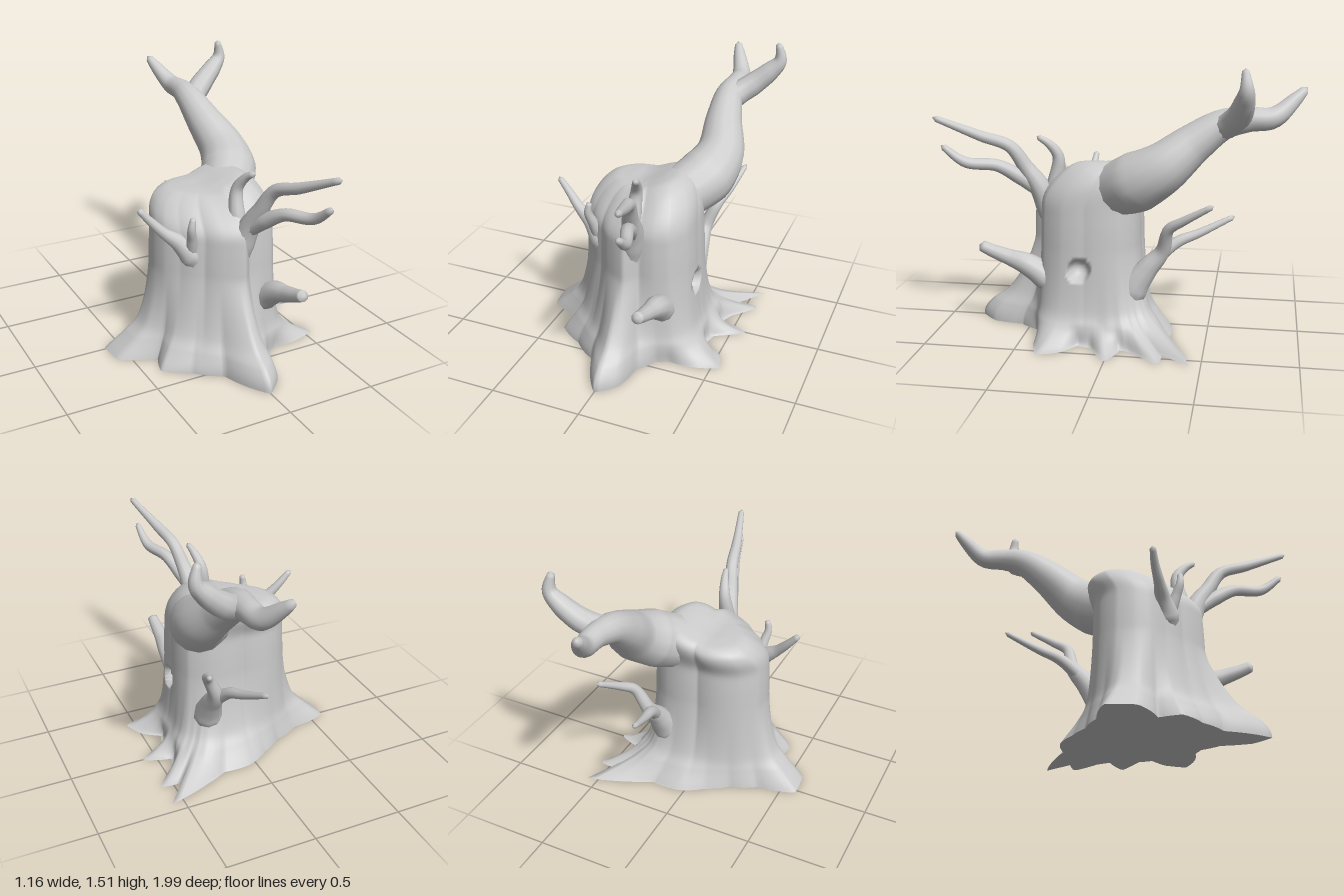
import * as THREE from 'three';
import { mergeVertices } from 'three/addons/utils/BufferGeometryUtils.js';

const { lerp, clamp, smoothstep } = THREE.MathUtils;
const CZ = 0.15; // trunk axis z
const N = 180, ROWS = 110;

// Outlines seen from above, as [x, z]
const FOOT = [[0.42, 0.1], [0.4, 0.18], [0.5, 0.25], [0.55, 0.37], [0.27, 0.42], [0.2, 0.45], [0.13, 0.55], [0.1, 0.72],
  [0, 0.815], [-0.1, 0.65], [-0.13, 0.56], [-0.27, 0.45], [-0.41, 0.35], [-0.37, 0.23], [-0.57, 0.14], [-0.585, -0.02],
  [-0.37, -0.07], [-0.22, -0.14], [-0.1, -0.22], [0.04, -0.3], [0.2, -0.3], [0.33, -0.36], [0.43, -0.4],
  [0.58, -0.44], [0.45, -0.29], [0.58, -0.28], [0.45, -0.13], [0.42, -0.06], [0.585, 0]];
const WAIST = [[0.33, 0.15], [0.32, 0.28], [0.25, 0.39], [0.17, 0.42], [0.09, 0.42], [0.03, 0.49], [-0.06, 0.45],
  [-0.15, 0.365], [-0.25, 0.275], [-0.31, 0.2], [-0.33, 0.12], [-0.32, 0.02], [-0.24, -0.07], [0, -0.11], [0.2, -0.11],
  [0.3, -0.04]];

// Radius of an outline at a given angle round the trunk axis
function polar(outline) {
  const tau = Math.PI * 2;
  const pts = outline.map(([x, z]) => [(Math.atan2(z - CZ, x) + tau) % tau, Math.hypot(x, z - CZ)]).sort((p, q) => p[0] - q[0]);
  const first = pts[0], last = pts[pts.length - 1];
  const all = [[last[0] - tau, last[1]], ...pts, [first[0] + tau, first[1]]];
  return (angle) => {
    const a = (angle + tau) % tau;
    const k = all.findIndex((p) => p[0] > a);
    const [p, q] = [all[k - 1], all[k]];
    return p[1] + (q[1] - p[1]) * (a - p[0]) / (q[0] - p[0]);
  };
}

function build(positions, index) {
  const g = new THREE.BufferGeometry();
  g.setAttribute('position', new THREE.Float32BufferAttribute(positions, 3));
  g.setIndex(index);
  g.computeVertexNormals();
  return g;
}

// Trunk: spreading root outline blends into the waist, then rounds over at the top
function trunkGeometries() {
  const foot = polar(FOOT), waist = polar(WAIST);
  const smoothFoot = (a) => [-0.3, -0.2, -0.1, 0, 0.1, 0.2, 0.3].reduce((sum, d) => sum + foot(a + d) / 7, 0);
  // x: blend from foot to waist, y: height, z: scale
  const profile = new THREE.CatmullRomCurve3([
    [0, 0, 1], [0.1, 0.025, 1], [0.42, 0.1, 1], [0.7, 0.18, 1], [0.88, 0.32, 1], [1, 0.5, 1], [1, 0.68, 0.98],
    [1, 0.78, 0.95], [1, 0.85, 0.85], [1, 0.9, 0.66], [1, 0.914, 0.4], [1, 0.915, 0],
  ].map((p) => new THREE.Vector3(...p)));
  const pos = [], index = [];
  profile.getSpacedPoints(ROWS).forEach((row, j) => {
    for (let i = 0; i < N; i++) {
      const a = i / N * Math.PI * 2, c = Math.cos(a), s = Math.sin(a);
      // the front root climbs high, the side toes lie flat and fade out quickly
      const steep = 1 + 1.1 * Math.max(0, s) ** 3 - 0.5 * Math.max(0, c) ** 2;
      const blend = clamp(row.x, 0, 1) ** steep;
      const fade = smoothstep(row.y, 0, 0.13) * smoothstep(c, 0.3, 0.8);
      const r = lerp(lerp(foot(a), smoothFoot(a), fade), waist(a), blend) * Math.max(0, row.z);
      let x = c * r;
      // the crown leans back
      const z = CZ + s * r - 0.1 * smoothstep(row.y, 0.72, 0.92);
      // and is higher on the side of the big limb
      const y = row.y + smoothstep(row.y, 0.65, 0.9) * 0.065 * smoothstep(x, -0.06, 0.2);
      // knot hole pressed into the side
      const d = Math.hypot(y - 0.4, z - 0.18) / 0.06;
      if (x > 0 && d < 1) x -= 0.08 * Math.sqrt(1 - d * d);
      pos.push(x, Math.max(0, y), z);
      if (j < ROWS) {
        const p = j * N + i, q = j * N + (i + 1) % N;
        index.push(p, p + N, q, q, p + N, q + N);
      }
    }
  });
  // flat underside
  const base = [...pos.slice(0, N * 3), 0, 0, CZ], fan = [];
  for (let i = 0; i < N; i++) fan.push(N, i, (i + 1) % N);
  return [build(pos, index), build(base, fan)];
}

// Tapered limb through points [x, y, z, radius], closed at the tip
function limbGeometry(points, sides) {
  const curve = new THREE.CatmullRomCurve3(points.map((p) => new THREE.Vector3(p[0], p[1], p[2])));
  const segs = points.length * 6;
  const g = new THREE.TubeGeometry(curve, segs, 1, sides, false);
  const pos = g.attributes.position, v = new THREE.Vector3();
  for (let s = 0; s <= segs; s++) {
    const c = curve.getPointAt(s / segs);
    const t = curve.getUtoTmapping(s / segs) * (points.length - 1);
    const k = Math.min(points.length - 2, Math.floor(t));
    const r = s === segs ? 0 : lerp(points[k][3], points[k + 1][3], t - k);
    for (let i = 0; i <= sides; i++) {
      const n = s * (sides + 1) + i;
      v.fromBufferAttribute(pos, n).sub(c).multiplyScalar(r).add(c);
      pos.setXYZ(n, v.x, v.y, v.z);
    }
  }
  g.deleteAttribute('uv');
  g.deleteAttribute('normal');
  const merged = mergeVertices(g, 1e-5);
  merged.computeVertexNormals();
  return merged;
}

// Each limb starts sunk inside the trunk or its parent limb
const LIMBS = {
  mainLimb: [[0.1, 0.74, 0.12, 0.08], [0.17, 0.82, 0, 0.15], [0.265, 0.89, -0.13, 0.162], [0.3, 0.97, -0.26, 0.138],
    [0.265, 1.1, -0.42, 0.106], [0.245, 1.2, -0.57, 0.08], [0.25, 1.23, -0.7, 0.064], [0.24, 1.24, -0.82, 0.056],
    [0.19, 1.33, -0.93, 0.036], [0.16, 1.39, -0.99, 0.018]],
  mainLimbFork: [[0.24, 1.13, -0.49, 0.04], [0.28, 1.2, -0.59, 0.068], [0.36, 1.26, -0.65, 0.066], [0.45, 1.34, -0.68, 0.055],
    [0.505, 1.41, -0.69, 0.038], [0.49, 1.515, -0.68, 0.016]],
  frontBranch: [[0.03, 0.5, 0.38, 0.04], [0.05, 0.68, 0.41, 0.065], [0.07, 0.8, 0.45, 0.058], [0.09, 0.91, 0.52, 0.043],
    [0.12, 1.03, 0.6, 0.035], [0.16, 1.09, 0.75, 0.03], [0.24, 1.2, 0.995, 0.016]],
  frontBranchLowerFork: [[0.06, 0.76, 0.44, 0.035], [0.1, 0.86, 0.56, 0.042], [0.14, 0.925, 0.67, 0.034], [0.2, 0.95, 0.83, 0.03],
    [0.22, 1.045, 0.96, 0.016]],
  frontBranchUpperFork: [[0.05, 0.7, 0.4, 0.05], [0.04, 0.84, 0.36, 0.045], [0.05, 0.97, 0.345, 0.032], [0.07, 1.04, 0.39, 0.024],
    [0.09, 1.085, 0.455, 0.014]],
  sideTwig: [[-0.13, 0.5, 0.27, 0.05], [-0.19, 0.62, 0.28, 0.07], [-0.25, 0.69, 0.265, 0.048], [-0.33, 0.755, 0.25, 0.03],
    [-0.4, 0.83, 0.23, 0.023], [-0.465, 0.905, 0.22, 0.016]],
  sideTwigFork: [[-0.19, 0.62, 0.29, 0.04], [-0.21, 0.73, 0.335, 0.028], [-0.225, 0.8, 0.36, 0.022], [-0.215, 0.865, 0.36, 0.014]],
  stub: [[0.19, 0.2, 0.3, 0.05], [0.21, 0.32, 0.39, 0.075], [0.22, 0.39, 0.49, 0.062], [0.22, 0.425, 0.59, 0.045],
    [0.22, 0.46, 0.69, 0.036], [0.22, 0.49, 0.76, 0.03]],
  backTwig: [[0.2, 0.13, -0.06, 0.06], [0.21, 0.28, -0.1, 0.085], [0.22, 0.4, -0.18, 0.06], [0.23, 0.5, -0.26, 0.042],
    [0.29, 0.64, -0.3, 0.03], [0.33, 0.7, -0.38, 0.024], [0.38, 0.8, -0.54, 0.014]],
  backTwigFork: [[0.22, 0.43, -0.2, 0.04], [0.18, 0.54, -0.33, 0.032], [0.15, 0.59, -0.45, 0.024], [0.1, 0.68, -0.64, 0.014]],
};

export function createModel() {
  const group = new THREE.Group();
  group.name = 'treeStump';
  const material = new THREE.MeshStandardMaterial({ color: 0xcccccc });
  const add = (name, geometry) => {
    const mesh = new THREE.Mesh(geometry, material);
    mesh.name = name;
    group.add(mesh);
  };
  const [trunk, underside] = trunkGeometries();
  add('trunk', trunk);
  add('underside', underside);
  for (const [name, points] of Object.entries(LIMBS)) add(name, limbGeometry(points, name === 'mainLimb' ? 14 : 10));
  return group;
}
